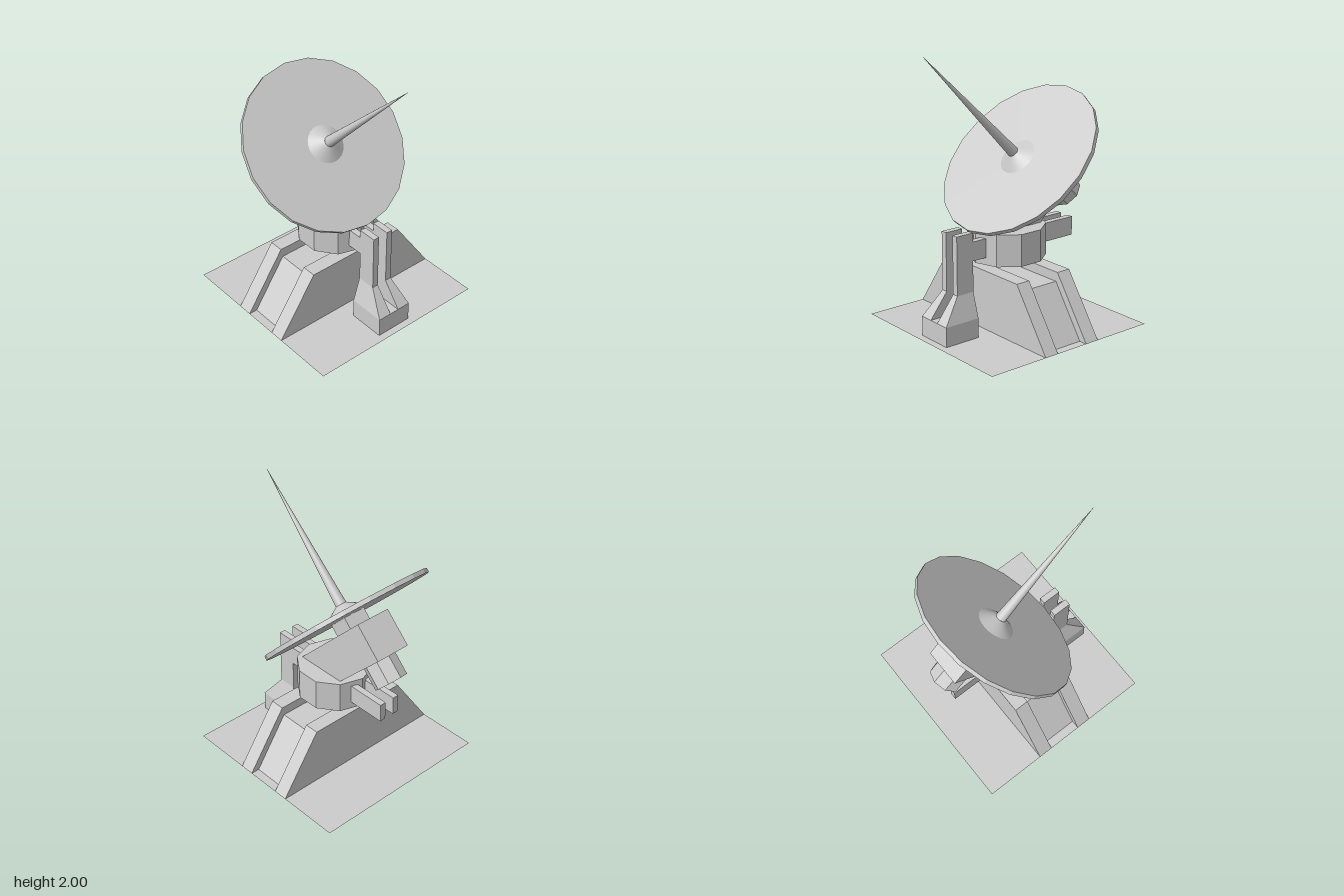
import * as THREE from 'three';

const flat = new THREE.MeshStandardMaterial({ color: 0xcccccc, flatShading: true });
const smooth = new THREE.MeshStandardMaterial({ color: 0xcccccc });
const sheet = new THREE.MeshStandardMaterial({ color: 0xcccccc, flatShading: true, side: THREE.DoubleSide });

function add(parent, name, geometry, material = flat, x = 0, y = 0, z = 0) {
  const mesh = new THREE.Mesh(geometry, material);
  mesh.name = name;
  mesh.position.set(x, y, z);
  parent.add(mesh);
  return mesh;
}

// Box given by its limits
function addBox(parent, name, [x0, x1], [y0, y1], [z0, z1]) {
  return add(parent, name, new THREE.BoxGeometry(x1 - x0, y1 - y0, z1 - z0), flat,
    (x0 + x1) / 2, (y0 + y1) / 2, (z0 + z1) / 2);
}

// Box whose upper end is the rectangle top = [x0, x1, z0, z1]
function taperedBox(base, top, y0, y1) {
  const g = new THREE.BoxGeometry(1, 1, 1);
  const p = g.attributes.position;
  for (let i = 0; i < p.count; i++) {
    const r = p.getY(i) > 0 ? top : base;
    p.setXYZ(i, p.getX(i) > 0 ? r[1] : r[0], p.getY(i) > 0 ? y1 : y0, p.getZ(i) > 0 ? r[3] : r[2]);
  }
  g.computeVertexNormals();
  return g;
}

// Open strip: a (z, y) profile swept from x0 to x1
function strip(profile, x0, x1) {
  const g = new THREE.PlaneGeometry(1, 1, 1, profile.length - 1);
  const p = g.attributes.position;
  for (let i = 0; i < p.count; i++) {
    const [z, y] = profile[Math.floor(i / 2)];
    p.setXYZ(i, i % 2 ? x1 : x0, y, z);
  }
  g.computeVertexNormals();
  return g;
}

// Flat wall in the (z, y) plane
function wall(points) {
  const shape = new THREE.Shape(points.map(([z, y]) => new THREE.Vector2(-z, y)));
  return new THREE.ShapeGeometry(shape).rotateY(Math.PI / 2);
}

export function createModel() {
  const model = new THREE.Group();
  model.name = 'dishAntenna';

  // Ground sheet, open beneath the hollow mount
  const ground = (name, w, d, x, z) =>
    add(model, name, new THREE.PlaneGeometry(w, d).rotateX(-Math.PI / 2), sheet, x, 0, z);
  for (const s of [-1, 1]) {
    ground('groundPlate', 0.465, 1.41, s * 0.4725, 0);
    ground('groundTab', 0.26, 0.065, 0, s * 0.6725);
  }

  // Hollow trapezoid mount: two raised rails with a recessed panel between
  const mount = new THREE.Group();
  mount.name = 'mount';
  model.add(mount);
  const outer = [[-0.705, 0], [-0.4, 0.44], [0.4, 0.44], [0.705, 0]];
  const inner = [[-0.64, 0], [-0.385, 0.37], [0.385, 0.37], [0.64, 0]];
  add(mount, 'mountPanel', strip(inner, -0.13, 0.13), sheet);
  for (const s of [-1, 1]) {
    add(mount, 'mountRail', strip(outer, s * 0.13, s * 0.24), sheet);
    add(mount, 'mountSide', wall(outer), sheet, s * 0.24);
    add(mount, 'mountRailInnerSide', wall([...outer, ...[...inner].reverse()]), sheet, s * 0.13);
  }

  // Ten-sided turntable
  add(model, 'turntable', new THREE.CylinderGeometry(0.282, 0.282, 0.235, 10).rotateY(Math.PI / 2),
    flat, 0, 0.6125, 0);

  // Paired arms either side of the turntable, and the forked column
  addBox(model, 'columnFoot', [0.37, 0.65], [0, 0.145], [-0.14, 0.14]);
  for (const s of [-1, 1]) {
    const z = s > 0 ? [0.037, 0.085] : [-0.085, -0.037];
    const wide = s > 0 ? [0.037, 0.14] : [-0.14, -0.037];
    addBox(model, 'freeArm', [-0.55, -0.2], [0.55, 0.69], z);
    addBox(model, 'columnArm', [0.2, 0.37], [0.55, 0.69], z);
    addBox(model, 'columnProng', [0.37, 0.51], [0.325, 0.755], z);
    add(model, 'columnFlare', taperedBox([0.37, 0.65, ...wide], [0.37, 0.51, ...z], 0.145, 0.325));
  }

  // Slanted boom standing on the turntable
  const boom = new THREE.Shape([[-0.2, 0.73], [0.2, 0.73], [-0.37, 1.3], [-0.57, 1.1]]
    .map(([x, y]) => new THREE.Vector2(x, y)));
  add(model, 'boom', new THREE.ExtrudeGeometry(boom, { depth: 0.28, bevelEnabled: false }), flat, 0, 0, -0.14);

  // Everything on the tilted dish axis; local y points along the feed
  const head = new THREE.Group();
  head.name = 'dishHead';
  head.position.set(-0.1, 1.2, 0);
  head.rotation.z = -Math.PI / 4;
  model.add(head);
  add(head, 'driveMotor', new THREE.CylinderGeometry(0.124, 0.124, 0.19, 8), flat, -0.083, -0.476, 0);
  addBox(head, 'dishNeck', [-0.092, 0.092], [-0.14, -0.02], [-0.092, 0.092]);
  add(head, 'dish', new THREE.CylinderGeometry(0.638, 0.638, 0.033, 20), flat, 0, -0.0165, 0);
  add(head, 'feedFlare', new THREE.CylinderGeometry(0.04, 0.141, 0.062, 24, 1, true), smooth, 0, 0.031, 0);
  add(head, 'feedSpike', new THREE.CylinderGeometry(0.001, 0.04, 1.07, 20), smooth, 0, 0.597, 0);

  return model;
}
